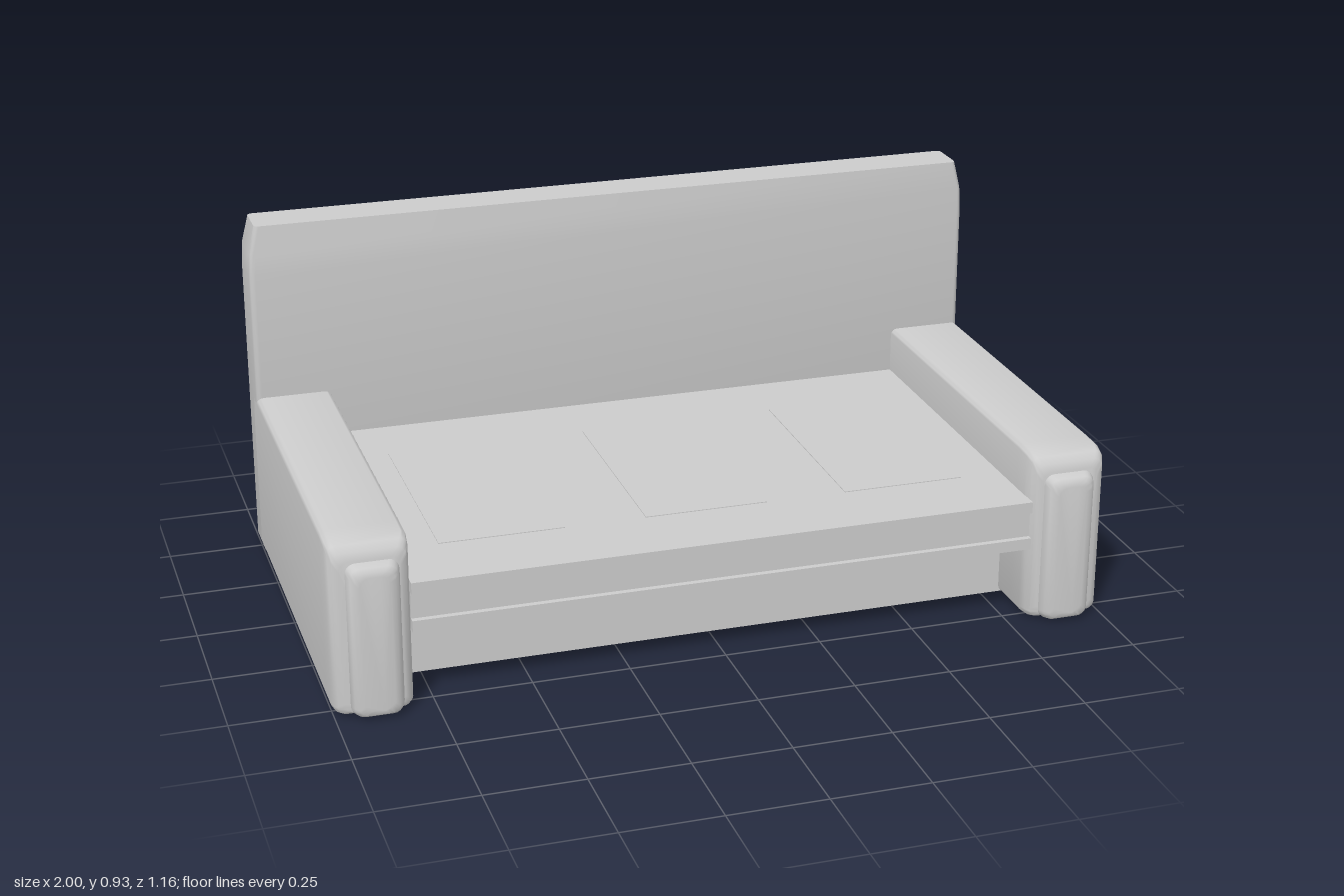
import * as THREE from 'three';
import { toCreasedNormals } from 'three/addons/utils/BufferGeometryUtils.js';

const material = new THREE.MeshStandardMaterial({ color: 0xcccccc });

// Counter-clockwise rounded rectangle ring
function ring(a0, a1, b0, b1, r, steps = 5) {
  const corners = [[a1 - r, b0 + r, -1], [a1 - r, b1 - r, 0], [a0 + r, b1 - r, 1], [a0 + r, b0 + r, 2]];
  const points = [];
  for (const [ca, cb, quarter] of corners) {
    for (let i = 0; i <= steps; i++) {
      const t = (quarter + i / steps) * Math.PI / 2;
      points.push([ca + r * Math.cos(t), cb + r * Math.sin(t)]);
    }
  }
  return points;
}

// Closed skin through rounded sections [c, a0, a1, b0, b1, r]; place maps (a, b, c) to x, y, z
function loft(sections, place) {
  const positions = [], index = [];
  const rings = sections.map(([c, ...rect]) => ring(...rect).map(([a, b]) => place(a, b, c)));
  const n = rings[0].length;
  rings.forEach((points) => points.forEach((p) => positions.push(...p)));
  for (let k = 0; k < rings.length - 1; k++) {
    for (let i = 0; i < n; i++) {
      const j = (i + 1) % n, lo = k * n, hi = lo + n;
      index.push(lo + i, lo + j, hi + j, lo + i, hi + j, hi + i);
    }
  }
  const last = (rings.length - 1) * n;
  for (let i = 1; i < n - 1; i++) {
    index.push(0, i + 1, i, last, last + i, last + i + 1);
  }
  const geometry = new THREE.BufferGeometry();
  geometry.setAttribute('position', new THREE.Float32BufferAttribute(positions, 3));
  geometry.setIndex(index);
  return toCreasedNormals(geometry, 0.7);
}

const alongZ = (a, b, c) => [a, b, c];
const alongY = (a, b, c) => [b, c, a];

function add(parent, name, geometry) {
  const mesh = new THREE.Mesh(geometry, material);
  mesh.name = name;
  parent.add(mesh);
  return mesh;
}

function addBox(parent, name, x, y0, y1, z0, z1, halfWidth) {
  const geometry = new THREE.BoxGeometry(halfWidth * 2, y1 - y0, z1 - z0);
  add(parent, name, geometry).position.set(x, (y0 + y1) / 2, (z0 + z1) / 2);
}

export function createModel() {
  const sofa = new THREE.Group();
  sofa.name = 'sofa';

  // Backrest, tapering towards its flat top
  add(sofa, 'backrest', loft([
    [0, -0.57, -0.45, -0.99, 0.99, 0.01],
    [0.004, -0.577, -0.443, -0.997, 0.997, 0.013],
    [0.012, -0.58, -0.44, -1, 1, 0.015],
    [0.79, -0.58, -0.44, -1, 1, 0.015],
    [0.85, -0.577, -0.442, -0.997, 0.997, 0.015],
    [0.925, -0.565, -0.449, -0.98, 0.98, 0.012],
  ], alongY));

  // Armrests with a rounded front and a raised front pad
  for (const side of [1, -1]) {
    const arm = new THREE.Group();
    arm.name = side > 0 ? 'leftArm' : 'rightArm';
    const x0 = side > 0 ? 0.8 : -1, x1 = x0 + 0.2;
    add(arm, 'armrest', loft([
      [-0.5, x0, x1, 0, 0.452, 0.018],
      [0.44, x0, x1, 0, 0.452, 0.018],
      [0.49, x0, x1, 0, 0.449, 0.018],
      [0.52, x0 + 0.003, x1 - 0.003, 0.002, 0.442, 0.02],
      [0.537, x0 + 0.01, x1 - 0.01, 0.006, 0.428, 0.022],
      [0.545, x0 + 0.025, x1 - 0.025, 0.012, 0.408, 0.024],
    ], alongZ));
    const mid = side * 0.895;
    add(arm, 'armFrontPad', loft([
      [0.53, mid - 0.067, mid + 0.067, 0.004, 0.405, 0.025],
      [0.55, mid - 0.065, mid + 0.065, 0.004, 0.402, 0.025],
      [0.568, mid - 0.059, mid + 0.059, 0.007, 0.397, 0.025],
      [0.577, mid - 0.05, mid + 0.05, 0.013, 0.388, 0.025],
      [0.58, mid - 0.038, mid + 0.038, 0.024, 0.376, 0.025],
    ], alongZ));
    sofa.add(arm);
  }

  // Recessed base and layered seat
  addBox(sofa, 'base', 0, 0, 0.21, -0.5, 0.36, 0.82);
  addBox(sofa, 'seatFrame', 0, 0.2, 0.23, -0.45, 0.54, 0.802);
  addBox(sofa, 'seatFilling', 0, 0.23, 0.3, -0.45, 0.525, 0.802);
  addBox(sofa, 'seatTop', 0, 0.3, 0.33, -0.45, 0.54, 0.802);

  // Barely raised seat panels
  for (const x of [-0.53, 0, 0.53]) {
    addBox(sofa, 'seatPanel', x, 0.325, 0.332, -0.25, 0.34, 0.16);
  }
  return sofa;
}
